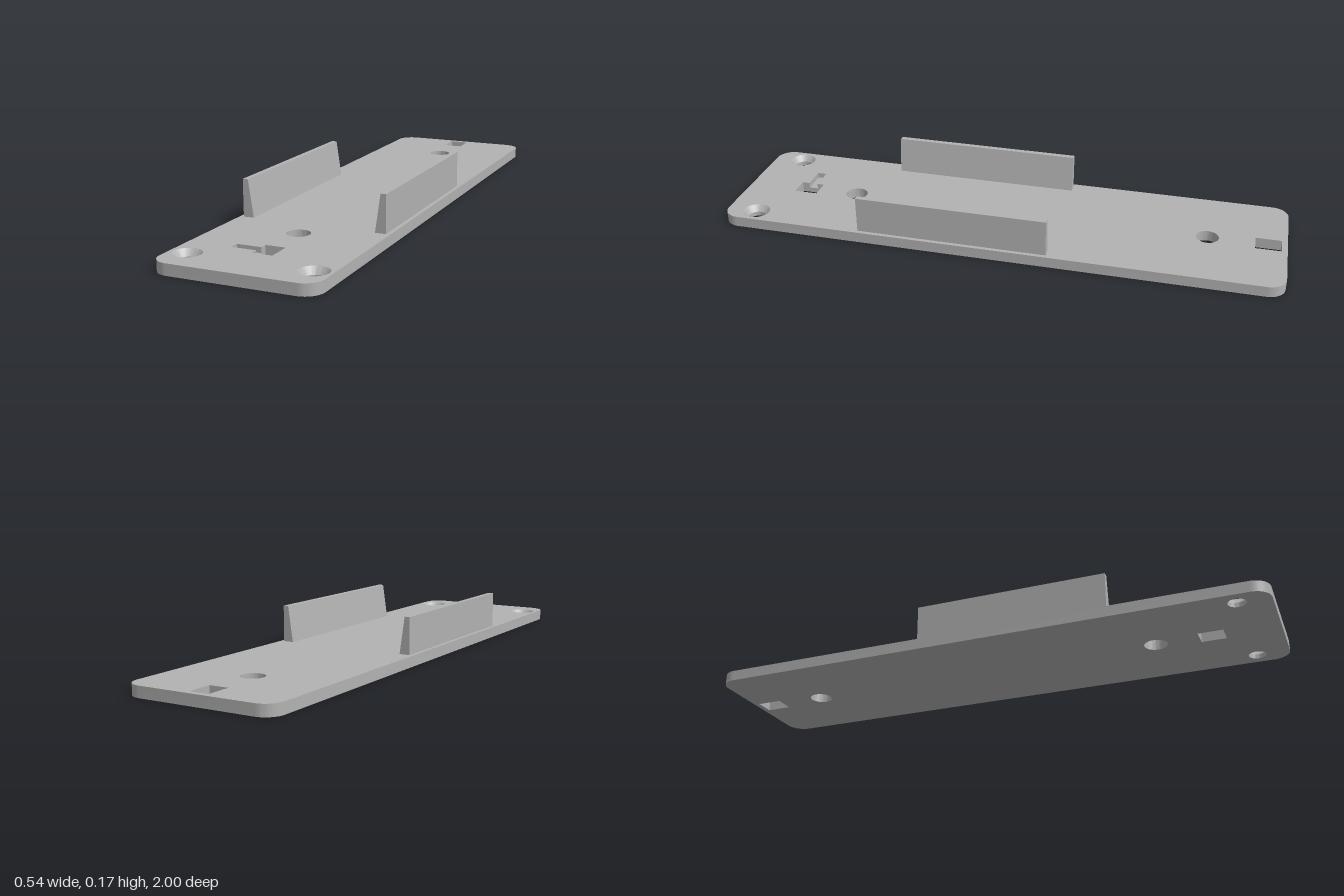
import * as THREE from 'three';
import { toCreasedNormals } from 'three/addons/utils/BufferGeometryUtils.js';

const W = 0.27, L = 1, T = 0.038; // plate half width, half length, thickness
const SLOT_Y = 0.019, SINK_Y = 0.016; // slot floor and countersink depth levels

// Outlines are counter-clockwise lists in plan, with plan y = -z
const circle = (x, z, r, n = 40) => Array.from({ length: n }, (_, i) => {
  const a = (i / n) * Math.PI * 2;
  return new THREE.Vector2(x + r * Math.cos(a), -z + r * Math.sin(a));
});
const poly = (...xz) => xz.map(([x, z]) => new THREE.Vector2(x, -z));
const rect = (x0, x1, z0, z1) => poly([x0, z1], [x1, z1], [x1, z0], [x0, z0]);

function roundedOutline(w, l, r) {
  const pts = [];
  [[1, 1], [-1, 1], [-1, -1], [1, -1]].forEach(([sx, sy], c) => {
    for (let i = 0; i <= 12; i++) {
      const a = (c + i / 12) * Math.PI / 2;
      pts.push(new THREE.Vector2(sx * (w - r) + r * Math.cos(a), sy * (l - r) + r * Math.sin(a)));
    }
  });
  return pts;
}

// Wall strip joining a lower outline to an upper one
function wall(lower, y0, upper, y1, inward = false) {
  const pos = [], n = lower.length;
  for (let i = 0; i < n; i++) {
    const j = (i + 1) % n;
    const [s, e] = inward ? [j, i] : [i, j];
    const A = [lower[s].x, y0, -lower[s].y], B = [lower[e].x, y0, -lower[e].y];
    const a = [upper[s].x, y1, -upper[s].y], b = [upper[e].x, y1, -upper[e].y];
    pos.push(...A, ...B, ...b, ...A, ...b, ...a);
  }
  const g = new THREE.BufferGeometry();
  g.setAttribute('position', new THREE.Float32BufferAttribute(pos, 3));
  return toCreasedNormals(g, 0.6);
}

// Flat face with holes, looking up or down
function face(outline, holes, y, up) {
  const s = new THREE.Shape(outline);
  s.holes = holes.map(h => new THREE.Path(h));
  const g = new THREE.ShapeGeometry(s);
  if (!up) {
    const idx = g.index.array;
    for (let i = 0; i < idx.length; i += 3) [idx[i], idx[i + 1]] = [idx[i + 1], idx[i]];
    g.computeVertexNormals();
  }
  return g.rotateX(-Math.PI / 2).translate(0, y, 0);
}

export function createModel() {
  const model = new THREE.Group();
  const grey = new THREE.MeshStandardMaterial({ color: 0xb2b2b2 });
  grey.name = 'grey plastic';
  const add = (name, geometry, parent = model) => {
    const m = new THREE.Mesh(geometry, grey);
    m.name = name;
    parent.add(m);
    return m;
  };

  const plate = new THREE.Group();
  plate.name = 'basePlate';
  model.add(plate);

  const outline = roundedOutline(W, L, 0.06);
  const rearWindow = rect(-0.035, 0.035, -0.98, -0.89);
  const frontWindow = rect(-0.035, 0.035, 0.73, 0.815);
  // Front window joined to its shallow side slot
  const slotted = poly([-0.035, 0.815], [0.035, 0.815], [0.035, 0.73], [-0.035, 0.73],
    [-0.035, 0.755], [-0.12, 0.755], [-0.12, 0.788], [-0.035, 0.788]);
  const roundHoles = [circle(0, -0.725, 0.04), circle(0, 0.58, 0.04)];
  const screwX = [-0.21, 0.21];
  const screwWide = screwX.map(x => circle(x, 0.89, 0.048));
  const screwNarrow = screwX.map(x => circle(x, 0.89, 0.03));

  // Plate faces and rim
  add('plateTop', face(outline, [rearWindow, slotted, ...roundHoles, ...screwWide], T, true), plate);
  add('plateBottom', face(outline, [rearWindow, frontWindow, ...roundHoles, ...screwNarrow], 0, false), plate);
  add('plateRim', wall(outline, 0, outline, T), plate);

  // Straight openings
  [rearWindow, ...roundHoles].forEach((h, i) =>
    add(i ? 'roundHole' : 'rearWindow', wall(h, 0, h, T, true), plate));
  add('frontWindow', wall(frontWindow, 0, frontWindow, SLOT_Y, true), plate);
  add('slotWalls', wall(slotted, SLOT_Y, slotted, T, true), plate);
  add('slotFloor', face(rect(-0.12, -0.035, 0.755, 0.788), [], SLOT_Y, true), plate);

  // Countersunk screw holes
  screwNarrow.forEach((h, i) => {
    add('screwHole', wall(h, 0, h, SINK_Y, true), plate);
    add('countersink', wall(h, SINK_Y, screwWide[i], T, true), plate);
  });

  // Side rails, upright outside and sloped inside
  for (const side of [1, -1]) {
    const profile = new THREE.Shape([[0.218, T], [0.256, T], [0.256, 0.167], [0.237, 0.167]]
      .map(([x, y]) => new THREE.Vector2(side * x, y)));
    const g = new THREE.ExtrudeGeometry(profile, { depth: 0.68, bevelEnabled: false });
    add(side > 0 ? 'leftRail' : 'rightRail', g.translate(0, 0, -0.2));
  }
  return model;
}
